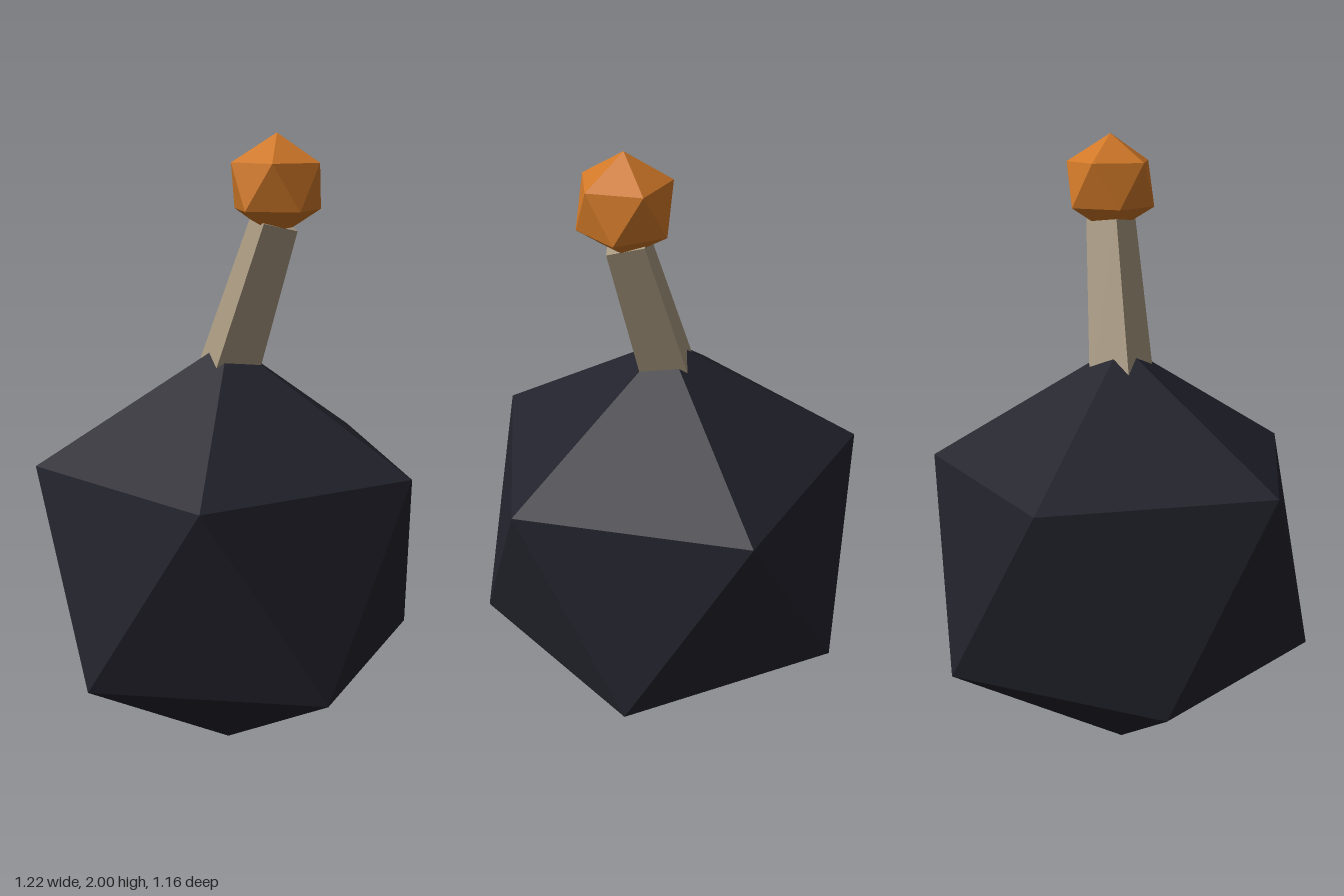
import * as THREE from 'three';

const flat = (name, color) => {
  const m = new THREE.MeshStandardMaterial({ color, flatShading: true });
  m.name = name;
  return m;
};

// Icosahedron standing on a corner, with an upper-ring corner facing +x
function gem(name, radius, x, y, material) {
  const geo = new THREE.IcosahedronGeometry(radius, 0);
  geo.rotateZ(-Math.atan(2 / (1 + Math.sqrt(5))));
  const mesh = new THREE.Mesh(geo, material);
  mesh.name = name;
  mesh.position.set(x, y, 0);
  return mesh;
}

export function createModel() {
  const group = new THREE.Group();
  group.name = 'bomb';

  // Faceted body and the spark at the end of the fuse
  group.add(gem('body', 0.683, 0, 0.687, flat('charcoal', 0x22222c)));
  group.add(gem('spark', 0.154, 0.158, 1.846, flat('orange', 0xd07828)));

  // Leaning, tapered four-sided fuse, sunk into the body
  const bottom = new THREE.Vector3(-0.025, 1.2, 0);
  const top = new THREE.Vector3(0.153, 1.74, 0);
  const axis = top.clone().sub(bottom);
  const fuse = new THREE.Mesh(
    new THREE.CylinderGeometry(0.079, 0.106, axis.length(), 4),
    flat('tan', 0xa89880)
  );
  fuse.name = 'fuse';
  fuse.position.copy(bottom).add(top).multiplyScalar(0.5);
  fuse.rotation.z = -Math.atan2(axis.x, axis.y);
  group.add(fuse);

  return group;
}
